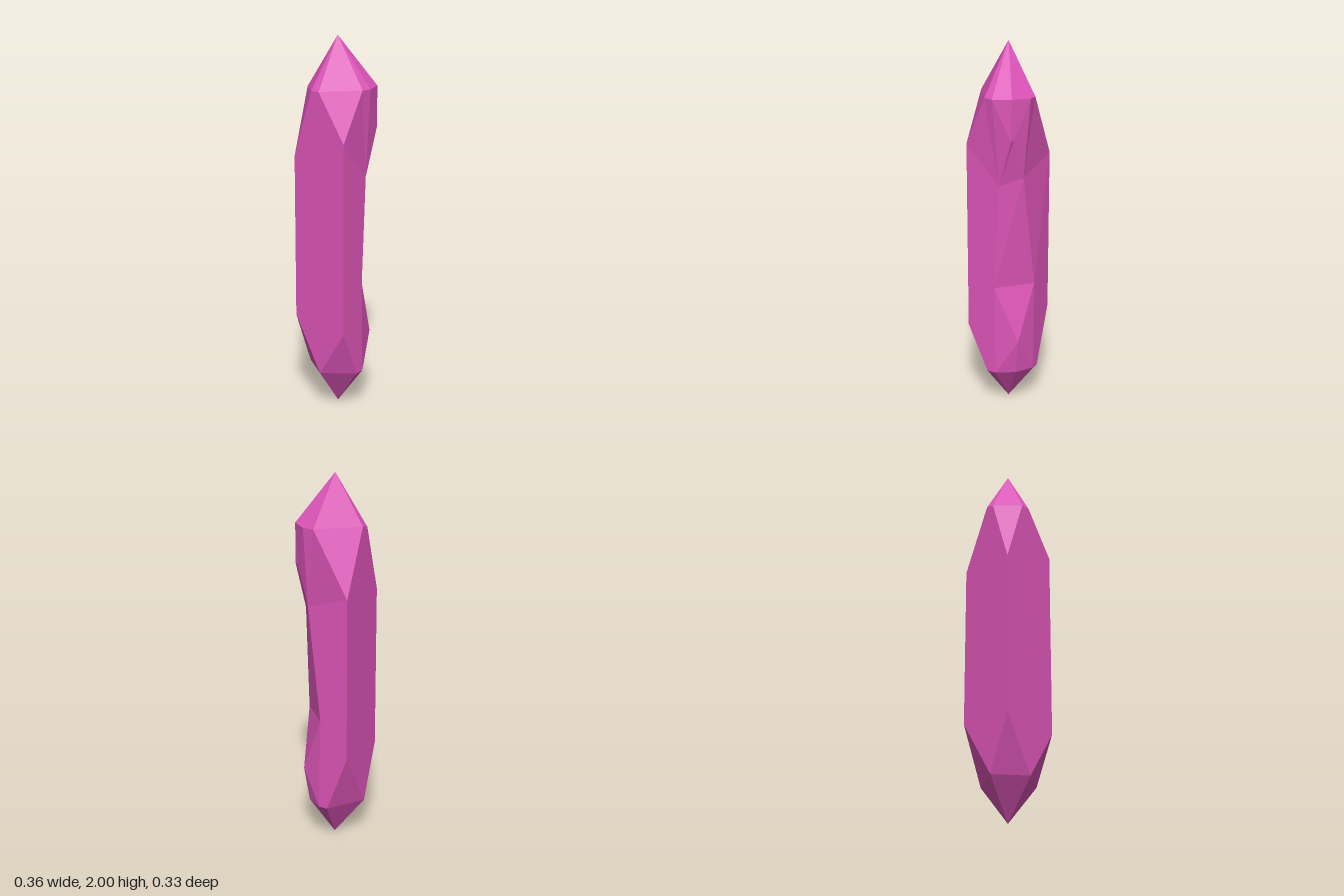
import * as THREE from 'three';

// Corner points of the crystal
const P = {
  tip: [-0.02, 2, 0.005], foot: [-0.02, 0, 0.005],
  // upper shoulder ring, front -> left -> back -> right
  t0: [-0.068, 1.73, 0.164], t1: [-0.02, 1.73, 0.164], t2: [0.165, 1.74, 0.042],
  t3: [0.177, 1.74, -0.007], t4: [0.15, 1.745, -0.105], t5: [0.067, 1.74, -0.167],
  t6: [0.01, 1.737, -0.163], t7: [-0.18, 1.74, 0.005], t8: [-0.18, 1.73, 0.052],
  // lower shoulder ring, same direction
  b0: [-0.02, 0.21, 0.164], b1: [0.138, 0.21, 0.05], b2: [0.138, 0.21, 0],
  b3: [0.08, 0.21, -0.095], b4: [-0.01, 0.21, -0.15], b5: [-0.06, 0.21, -0.15],
  b6: [-0.18, 0.21, 0.045],
  // upper and lower ends of the three long column edges
  flT: [0.138, 1.48, 0.164], flB: [0.138, 0.465, 0.164],
  frT: [-0.18, 1.38, 0.164], frB: [-0.18, 0.51, 0.164],
  brT: [-0.18, 1.395, -0.153], brB: [-0.18, 0.52, -0.152],
  // chipped fourth edge
  bump: [0.102, 0.4, -0.117], sideLow: [0.138, 0.71, 0.005], backLow: [-0.02, 0.71, -0.15],
  sideMid: [0.138, 1.28, -0.025], backMid: [0.065, 1.32, -0.127],
  sideTop: [0.152, 1.53, -0.1], backTop: [0.135, 1.535, -0.11],
};

// Flat facets (counter-clockwise names), each fanned from its first corner
function facets(name, material, faces) {
  const pos = [];
  for (const face of faces) {
    const c = face.split(' ').map((key) => P[key]);
    for (let i = 1; i < c.length - 1; i++) pos.push(...c[0], ...c[i], ...c[i + 1]);
  }
  const geometry = new THREE.BufferGeometry();
  geometry.setAttribute('position', new THREE.Float32BufferAttribute(pos, 3));
  geometry.computeVertexNormals();
  const mesh = new THREE.Mesh(geometry, material);
  mesh.name = name;
  return mesh;
}

// Triangles from an apex to each pair of neighbours in a ring
const fan = (apex, ring) => ring.map((key, i) => `${apex} ${key} ${ring[(i + 1) % ring.length]}`);

export function createModel() {
  const group = new THREE.Group();
  group.name = 'crystalShard';
  const material = new THREE.MeshStandardMaterial({ color: 0xdd55b8, flatShading: true });

  group.add(
    // Pointed top with its small overhanging ledge
    facets('upperPoint', material, [
      ...fan('tip', ['t0', 't1', 't2', 't3', 't4', 't6', 't7', 't8']),
      't4 t5 t6',
    ]),
    // Pointed bottom
    facets('lowerPoint', material, fan('foot', ['b6', 'b5', 'b4', 'b3', 'b2', 'b1', 'b0'])),
    // Bevels where the column edges meet the points
    facets('cornerBevels', material, [
      't1 flT t2', 't8 frT t0', 't6 brT t7',
      'b0 b1 flB', 'b6 b0 frB', 'b5 b6 brB',
    ]),
    // Long column faces: front, right, left, back
    facets('column', material, [
      'frB b0 flB flT t1 t0 frT',
      'brB b6 frB frT t8 t7 brT',
      'flT flB b1 b2 sideLow sideMid',
      'flT sideMid t2', 'sideMid t3 t2', 'sideMid sideTop t3', 'sideTop t4 t3',
      'brT t6 backMid backLow b4 b5 brB',
    ]),
    // Chipped edge
    facets('chippedEdge', material, [
      'b2 bump sideLow', 'b2 b3 bump', 'b3 b4 bump', 'b4 backLow bump',
      'sideLow bump backLow', 'sideLow backLow backMid', 'sideLow backMid sideMid',
      'sideMid backMid backTop', 'sideMid backTop sideTop', 'sideTop backTop t4',
      'backTop t5 t4', 'backTop backMid t5', 'backMid t6 t5',
    ]),
  );
  return group;
}
